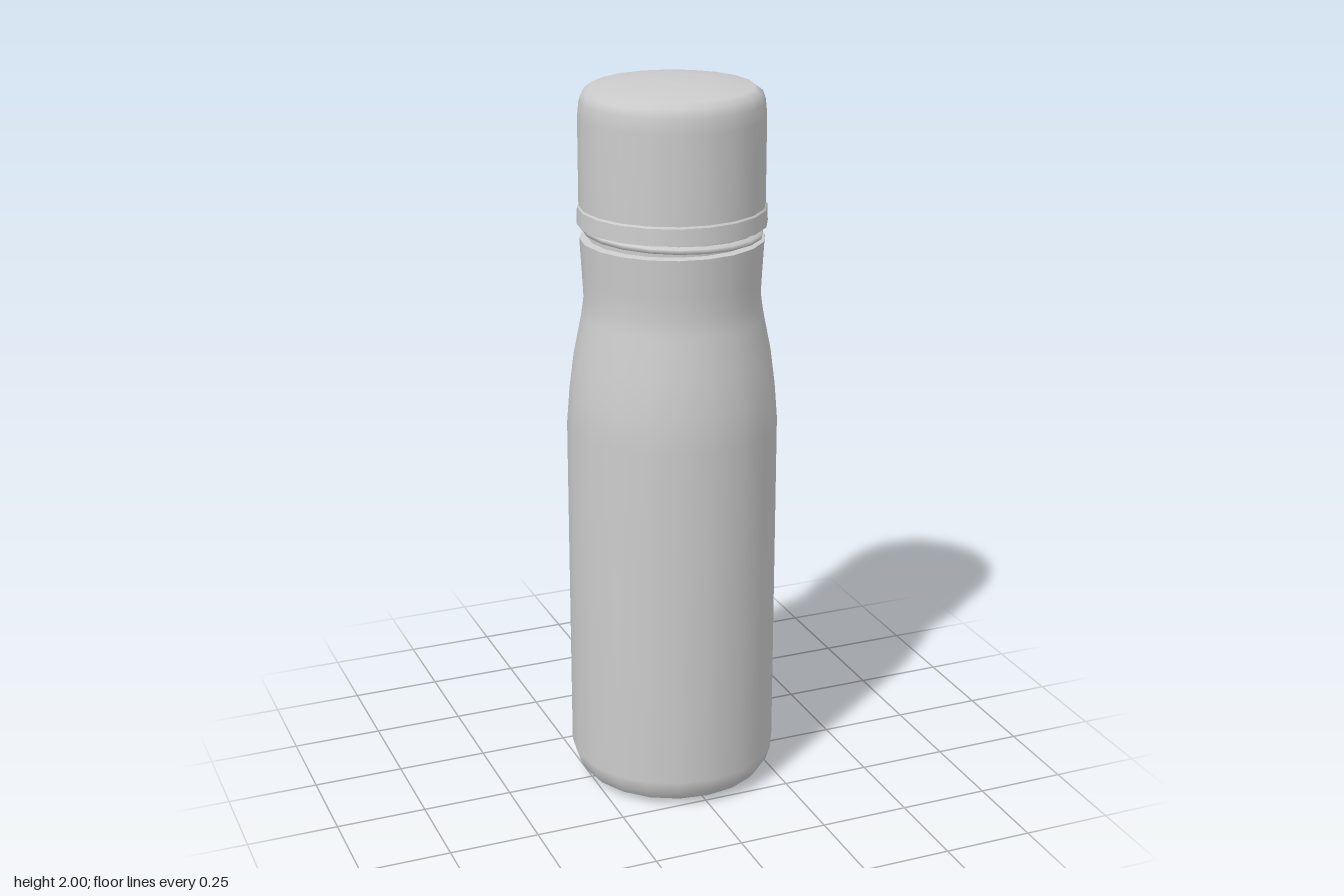
import * as THREE from 'three';

const SIDES = 20;
const material = new THREE.MeshStandardMaterial({ color: 0xcccccc, side: THREE.DoubleSide });

// Each span is smooth inside; edges between spans stay sharp.
function turned(name, spans) {
  const group = new THREE.Group();
  group.name = name;
  spans.forEach((span, i) => {
    const points = span.map(([r, y]) => new THREE.Vector2(r, y));
    const mesh = new THREE.Mesh(new THREE.LatheGeometry(points, SIDES), material);
    mesh.name = `${name}Surface${i + 1}`;
    group.add(mesh);
  });
  return group;
}

// Screw thread: a small wedge section swept down a helix around the neck.
function screwThread() {
  const turns = 2, pitch = 0.04, steps = SIDES * turns;
  const section = [[0.222, -0.012], [0.243, -0.006], [0.243, 0.006], [0.222, 0.012]];
  const positions = [], index = [];
  for (let i = 0; i <= steps; i++) {
    const a = (i / SIDES) * Math.PI * 2;
    const y = 1.672 - (i / SIDES) * pitch;
    for (const [r, dy] of section) positions.push(r * Math.cos(a), y + dy, -r * Math.sin(a));
    if (i === steps) break;
    for (let j = 0; j < 3; j++) {
      const p = i * 4 + j, q = p + 4;
      index.push(p, q, p + 1, p + 1, q, q + 1);
    }
  }
  const geometry = new THREE.BufferGeometry();
  geometry.setAttribute('position', new THREE.Float32BufferAttribute(positions, 3));
  geometry.setIndex(index);
  geometry.computeVertexNormals();
  const mesh = new THREE.Mesh(geometry, material);
  mesh.name = 'screwThread';
  return mesh;
}

export function createModel() {
  const model = new THREE.Group();
  model.name = 'bottle';

  // Body: base, bevelled foot, straight wall, waisted shoulder and rim
  model.add(turned('body', [
    [[0, 0], [0.22, 0.002]],
    [[0.22, 0.002], [0.262, 0.022]],
    [[0.262, 0.022], [0.278, 0.045], [0.29, 0.085], [0.29, 1.06], [0.282, 1.16],
      [0.269, 1.26], [0.247, 1.37], [0.24, 1.42], [0.243, 1.48], [0.249, 1.583]],
    [[0.249, 1.583], [0.225, 1.587]],
  ]));

  // Neck, running up inside the cap
  model.add(turned('neck', [[[0.228, 1.575], [0.228, 1.75]]]));
  model.add(screwThread());

  // Cap: underside, flared lip, wall, rounded shoulder and domed top
  model.add(turned('cap', [
    [[0.226, 1.623], [0.256, 1.623]],
    [[0.256, 1.623], [0.254, 1.668]],
    [[0.254, 1.668], [0.25, 1.673]],
    [[0.25, 1.673], [0.25, 1.91], [0.246, 1.95], [0.238, 1.973], [0.218, 1.988],
      [0.12, 1.996], [0, 2]],
  ]));

  return model;
}
